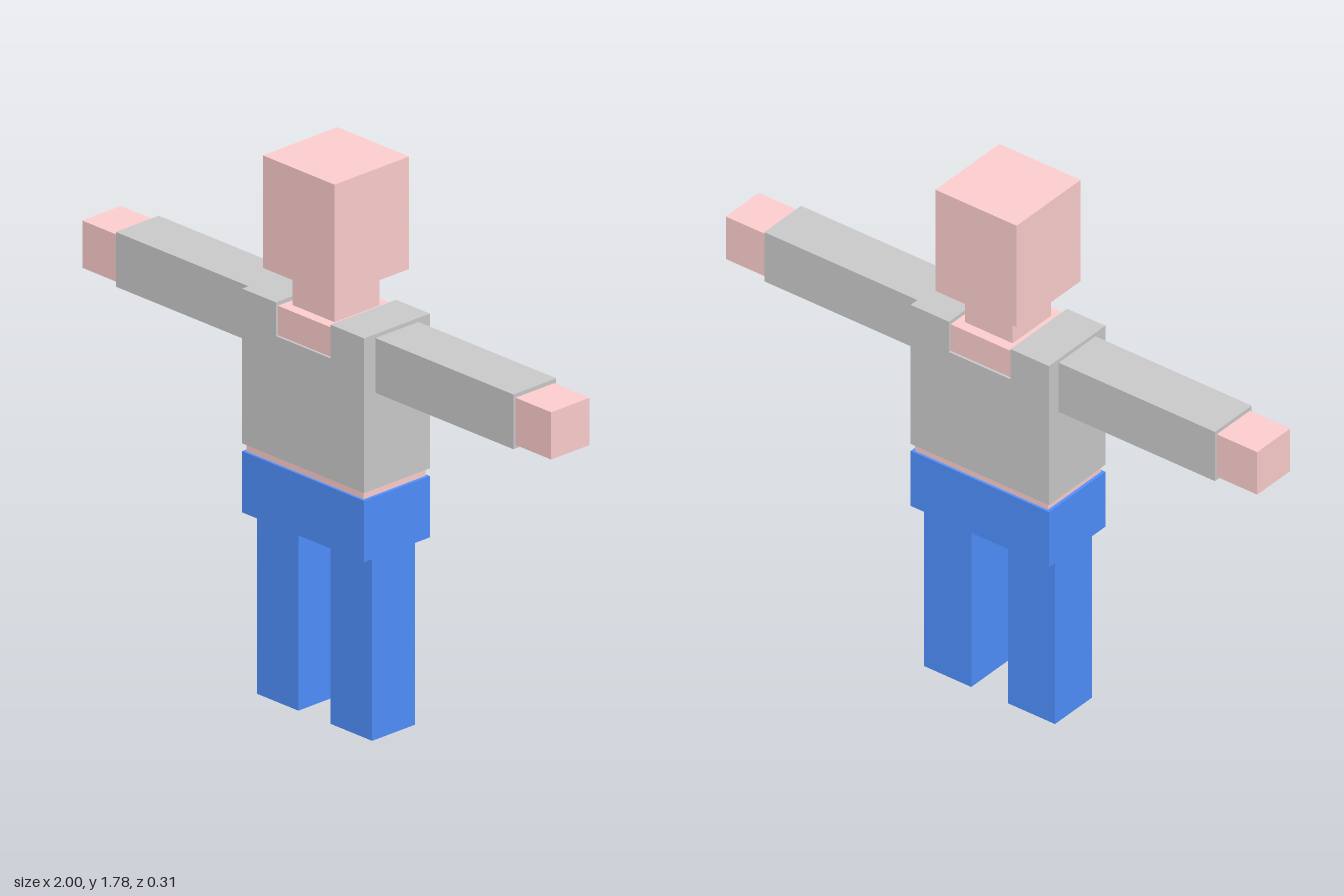
import * as THREE from 'three';

const material = (color) => new THREE.MeshStandardMaterial({ color, flatShading: true });

export function createModel() {
  const model = new THREE.Group();
  const skin = material(0xffcfcf);
  const cloth = material(0xcccccc);
  const denim = material(0x5091ff);

  // Box given by its lower and upper limits on each axis
  function box(name, mat, [x0, x1], [y0, y1], halfDepth) {
    const mesh = new THREE.Mesh(new THREE.BoxGeometry(x1 - x0, y1 - y0, halfDepth * 2), mat);
    mesh.position.set((x0 + x1) / 2, (y0 + y1) / 2, 0);
    mesh.name = name;
    model.add(mesh);
  }

  // Head, neck and the body under the clothes
  box('head', skin, [-0.153, 0.153], [1.418, 1.78], 0.153);
  box('neck', skin, [-0.09, 0.09], [1.29, 1.418], 0.092);
  box('torso', skin, [-0.25, 0.25], [0.7, 1.3], 0.127);

  // Shirt body with a square neckline cut from front to back
  const outline = new THREE.Shape([
    [-0.26, 0.815], [0.26, 0.815], [0.26, 1.313], [0.116, 1.313],
    [0.116, 1.205], [-0.116, 1.205], [-0.116, 1.313], [-0.26, 1.313],
  ].map(([x, y]) => new THREE.Vector2(x, y)));
  const shirtGeometry = new THREE.ExtrudeGeometry(outline, { depth: 0.27, bevelEnabled: false });
  shirtGeometry.translate(0, 0, -0.135);
  const shirt = new THREE.Mesh(shirtGeometry, cloth);
  shirt.name = 'shirt';
  model.add(shirt);

  // Trouser top
  box('hips', denim, [-0.26, 0.26], [0.593, 0.79], 0.135);

  // Sleeves, hands and legs on both sides
  for (const [side, s] of [['left', 1], ['right', -1]]) {
    const span = (a, b) => (s > 0 ? [a, b] : [-b, -a]);
    box(side + 'Sleeve', cloth, span(0.25, 0.848), [1.124, 1.3], 0.088);
    box(side + 'Hand', skin, span(0.8, 1), [1.135, 1.287], 0.079);
    box(side + 'Leg', denim, span(0.069, 0.246), [0, 0.6], 0.088);
  }
  return model;
}
